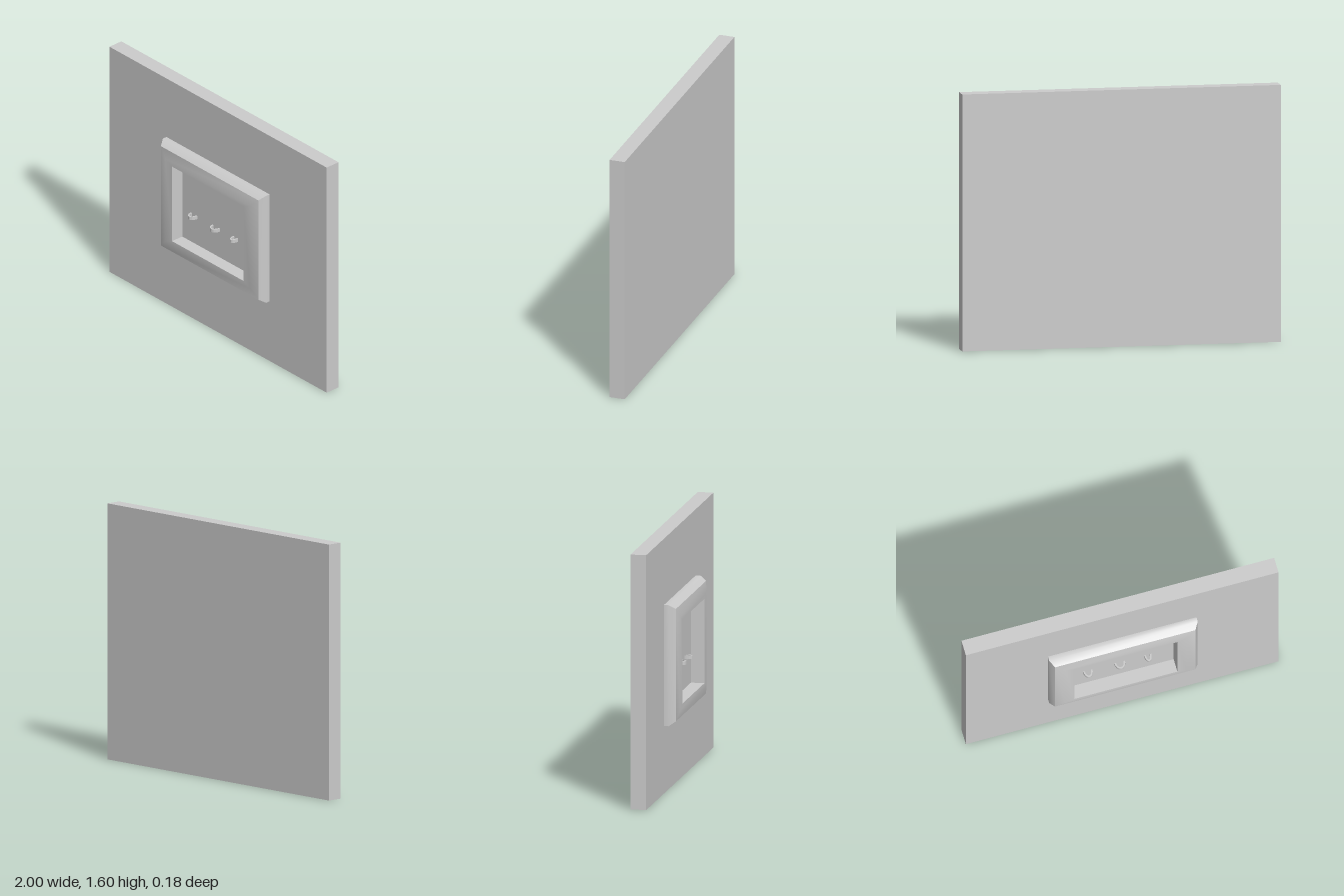
import * as THREE from 'three';
import { toCreasedNormals } from 'three/addons/utils/BufferGeometryUtils.js';

const material = new THREE.MeshStandardMaterial({ color: 0xcccccc });
const WALL_FRONT = 0.007;

function part(name, geometry, x = 0, y = 0, z = 0) {
  const mesh = new THREE.Mesh(geometry, material);
  mesh.name = name;
  mesh.position.set(x, y, z);
  return mesh;
}

// Mitred rectangular moulding: each ring is [half width, half height, z]
function mouldingGeometry(rings) {
  const corners = [[-1, -1], [1, -1], [1, 1], [-1, 1]];
  const point = (r, k) => {
    const [w, h, z] = rings[r];
    const [sx, sy] = corners[k % 4];
    return [sx * w, sy * h, z];
  };
  const positions = [];
  for (let r = 0; r < rings.length - 1; r++) {
    for (let k = 0; k < 4; k++) {
      const a = point(r, k), b = point(r, k + 1);
      const c = point(r + 1, k + 1), d = point(r + 1, k);
      positions.push(...a, ...b, ...c, ...a, ...c, ...d);
    }
  }
  const geometry = new THREE.BufferGeometry();
  geometry.setAttribute('position', new THREE.Float32BufferAttribute(positions, 3));
  return toCreasedNormals(geometry, 0.65);
}

// Flat bar bent into a half loop that springs from the wall
function hookGeometry(halfWidth, depth, bar, height) {
  const shape = new THREE.Shape();
  shape.absellipse(0, 0, halfWidth, depth, 0, Math.PI, false);
  shape.lineTo(-halfWidth + bar, 0);
  shape.absellipse(0, 0, halfWidth - bar, depth - bar, Math.PI, 0, true);
  shape.closePath();
  const geometry = new THREE.ExtrudeGeometry(shape, { depth: height, bevelEnabled: false, curveSegments: 5 });
  geometry.translate(0, 0, -height / 2);
  geometry.rotateX(Math.PI / 2);
  return geometry;
}

export function createModel() {
  const model = new THREE.Group();

  // Wall panel
  const back = -0.092;
  const thickness = WALL_FRONT - back;
  model.add(part('wall', new THREE.BoxGeometry(2, 1.6, thickness), 0, 0.8, back + thickness / 2));

  // Picture frame: side, chamfer, gentle slope, flat lip, recess
  model.add(part('frame', mouldingGeometry([
    [0.475, 0.38, WALL_FRONT],
    [0.475, 0.38, 0.036],
    [0.449, 0.353, 0.077],
    [0.39, 0.293, 0.092],
    [0.329, 0.265, 0.092],
    [0.329, 0.265, WALL_FRONT],
  ]), 0, 0.804, 0));

  // Three small hooks inside the frame: [x, half width]
  const hooks = new THREE.Group();
  hooks.name = 'hooks';
  for (const [x, halfWidth] of [[-0.22, 0.03], [-0.016, 0.034], [0.163, 0.023]]) {
    hooks.add(part('hook', hookGeometry(halfWidth, 0.045, 0.01, 0.022), x, 0.734, WALL_FRONT - 0.001));
  }
  model.add(hooks);

  return model;
}
